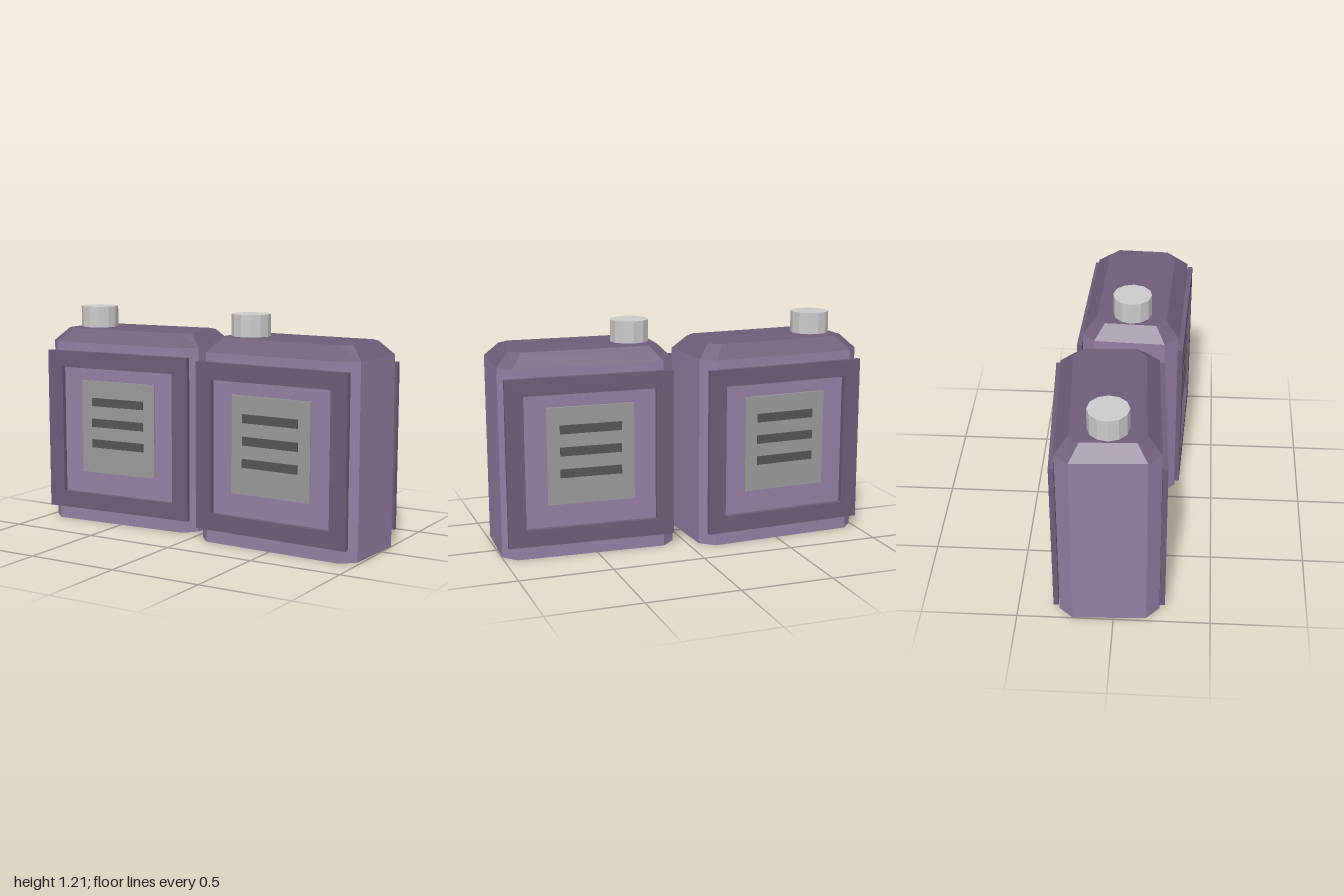
import * as THREE from 'three';

const mat = (color) => new THREE.MeshStandardMaterial({ color, flatShading: true });
const light = mat(0x957fa5), dark = mat(0x6e5d79), cap = mat(0xcccccc),
  panelGrey = mat(0x9b9b9b), slotGrey = mat(0x555555);

function add(parent, name, geometry, material, x = 0, y = 0, z = 0) {
  const mesh = new THREE.Mesh(geometry, material);
  mesh.name = name;
  mesh.position.set(x, y, z);
  parent.add(mesh);
  return mesh;
}

// Rectangle with cut corners, used for the footprint
function footprint(w, d, c) {
  return new THREE.Shape([
    [w, d - c], [w - c, d], [c - w, d], [-w, d - c],
    [-w, c - d], [c - w, -d], [w - c, -d], [w, c - d],
  ].map(([x, y]) => new THREE.Vector2(x, y)));
}

// Upright prism from y = 0 whose top is scaled about its centre
function prism(shape, height, sx = 1, sz = 1) {
  const g = new THREE.ExtrudeGeometry(shape, { depth: height, bevelEnabled: false });
  const p = g.attributes.position;
  for (let i = 0; i < p.count; i++) {
    if (p.getZ(i) > height / 2) p.setXY(i, p.getX(i) * sx, p.getY(i) * sz);
  }
  g.rotateX(-Math.PI / 2);
  g.computeVertexNormals();
  return g;
}

function rect(Type, hw, hh) {
  return new Type([[-hw, -hh], [hw, -hh], [hw, hh], [-hw, hh]]
    .map(([x, y]) => new THREE.Vector2(x, y)));
}

// Raised border, vent panel and slots on one broad face
function createFace(name) {
  const face = new THREE.Group();
  face.name = name;
  const border = rect(THREE.Shape, 0.45, 0.448);
  border.holes.push(rect(THREE.Path, 0.355, 0.357));
  add(face, 'border', new THREE.ExtrudeGeometry(border, { depth: 0.027, bevelEnabled: false }),
    dark, 0, 0.522, 0.26);
  add(face, 'ventPanel', new THREE.BoxGeometry(0.47, 0.52, 0.024), panelGrey, 0, 0.548, 0.26);
  for (const y of [0.69, 0.572, 0.455]) {
    add(face, 'ventSlot', new THREE.BoxGeometry(0.33, 0.046, 0.04), slotGrey, 0, y, 0.26);
  }
  return face;
}

function createCanister(name) {
  const can = new THREE.Group();
  can.name = name;
  const shape = footprint(0.47, 0.26, 0.07);
  add(can, 'body', prism(shape, 1.018), light);
  add(can, 'slopedLid', prism(shape, 0.072, 0.85, 0.73), dark, 0, 1.018, 0);
  add(can, 'fillerCap', new THREE.CylinderGeometry(0.105, 0.105, 0.135, 12), cap, -0.285, 1.14, 0);
  const back = createFace('backFace');
  back.rotation.y = Math.PI;
  can.add(createFace('frontFace'), back);
  return can;
}

export function createModel() {
  const model = new THREE.Group();
  model.name = 'canisterPair';
  const right = createCanister('rightCanister');
  right.position.set(-0.52, 0, -0.045);
  right.rotation.y = 0.052;
  const left = createCanister('leftCanister');
  left.position.set(0.52, 0, 0.045);
  left.rotation.y = -0.043;
  model.add(right, left);
  return model;
}
